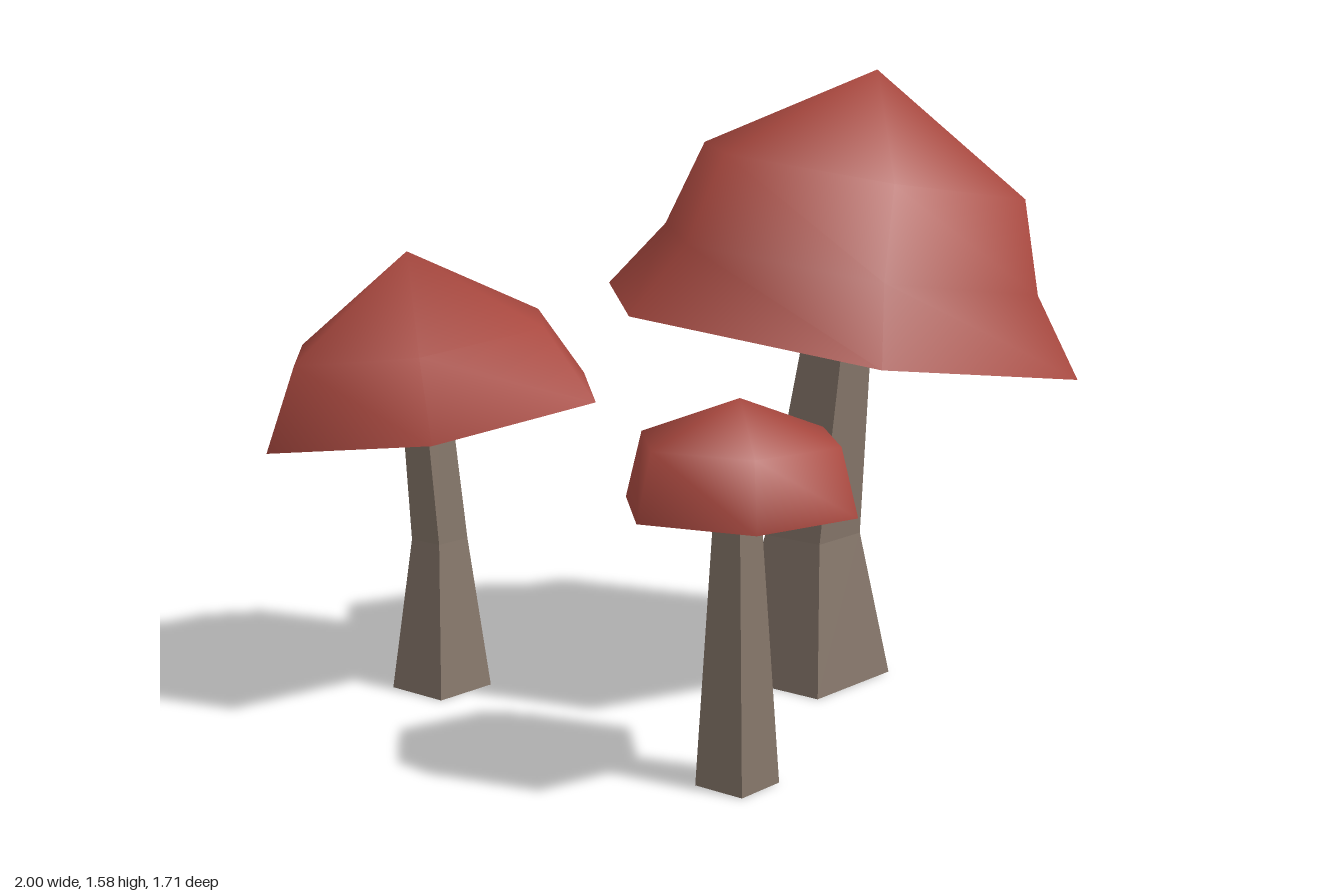
import * as THREE from 'three';
import { mergeVertices } from 'three/addons/utils/BufferGeometryUtils.js';

// Hollow six-sided cap: profile of [radius, height] from rim to tip, smooth normals
function makeCap(profile, position, up, material) {
  let geometry = new THREE.LatheGeometry(
    profile.map(([r, y]) => new THREE.Vector2(r, y)), 6, Math.PI / 2);
  geometry.deleteAttribute('normal');
  geometry.deleteAttribute('uv');
  geometry = mergeVertices(geometry, 1e-4);
  geometry.computeVertexNormals();
  const cap = new THREE.Mesh(geometry, material);
  cap.name = 'cap';
  cap.position.set(...position);
  cap.quaternion.setFromUnitVectors(
    new THREE.Vector3(0, 1, 0), new THREE.Vector3(...up).normalize());
  return cap;
}

// Open four-sided stem through rings of [x, y, z, radius], bottom to top
function makeStem(rings, material) {
  const geometry = new THREE.CylinderGeometry(1, 1, 1, 4, rings.length - 1, true, 1.026);
  const p = geometry.attributes.position;
  for (let i = 0; i < p.count; i++) {
    const [x, y, z, r] = rings[rings.length - 1 - Math.floor(i / 5)];
    p.setXYZ(i, x + p.getX(i) * r, y, z + p.getZ(i) * r);
  }
  geometry.computeVertexNormals();
  const stem = new THREE.Mesh(geometry, material);
  stem.name = 'stem';
  return stem;
}

export function createModel() {
  const red = new THREE.MeshStandardMaterial({ color: 0xa8483f, side: THREE.DoubleSide });
  red.name = 'cap red';
  const brown = new THREE.MeshStandardMaterial({
    color: 0x85766a, side: THREE.DoubleSide, flatShading: true });
  brown.name = 'stem brown';

  const mushrooms = [
    {
      name: 'largeMushroom',
      profile: [[0.651, 0], [0.514, 0.187], [0.439, 0.416], [0, 0.673]],
      position: [0.355, 0.92, 0.07], up: [0.136, 1, 0.082],
      stem: [[0.295, 0, 0.04, 0.222], [0.31, 0.38, 0.046, 0.125], [0.393, 1.3, 0.11, 0.062]],
    },
    {
      name: 'mediumMushroom',
      profile: [[0.468, 0], [0.357, 0.195], [0, 0.414]],
      position: [-0.535, 0.725, -0.455], up: [-0.118, 1, -0.071],
      stem: [[-0.53, 0, -0.443, 0.126], [-0.522, 0.39, -0.454, 0.071], [-0.566, 1.0, -0.472, 0.056]],
    },
    {
      name: 'smallMushroom',
      profile: [[0.28, 0], [0.24, 0.155], [0, 0.247]],
      position: [-0.365, 0.645, 0.61], up: [0, 1, 0],
      stem: [[-0.368, 0, 0.608, 0.096], [-0.37, 0.82, 0.608, 0.041]],
    },
  ];

  const model = new THREE.Group();
  model.name = 'mushrooms';
  for (const m of mushrooms) {
    const group = new THREE.Group();
    group.name = m.name;
    group.add(makeCap(m.profile, m.position, m.up, red), makeStem(m.stem, brown));
    model.add(group);
  }
  return model;
}
